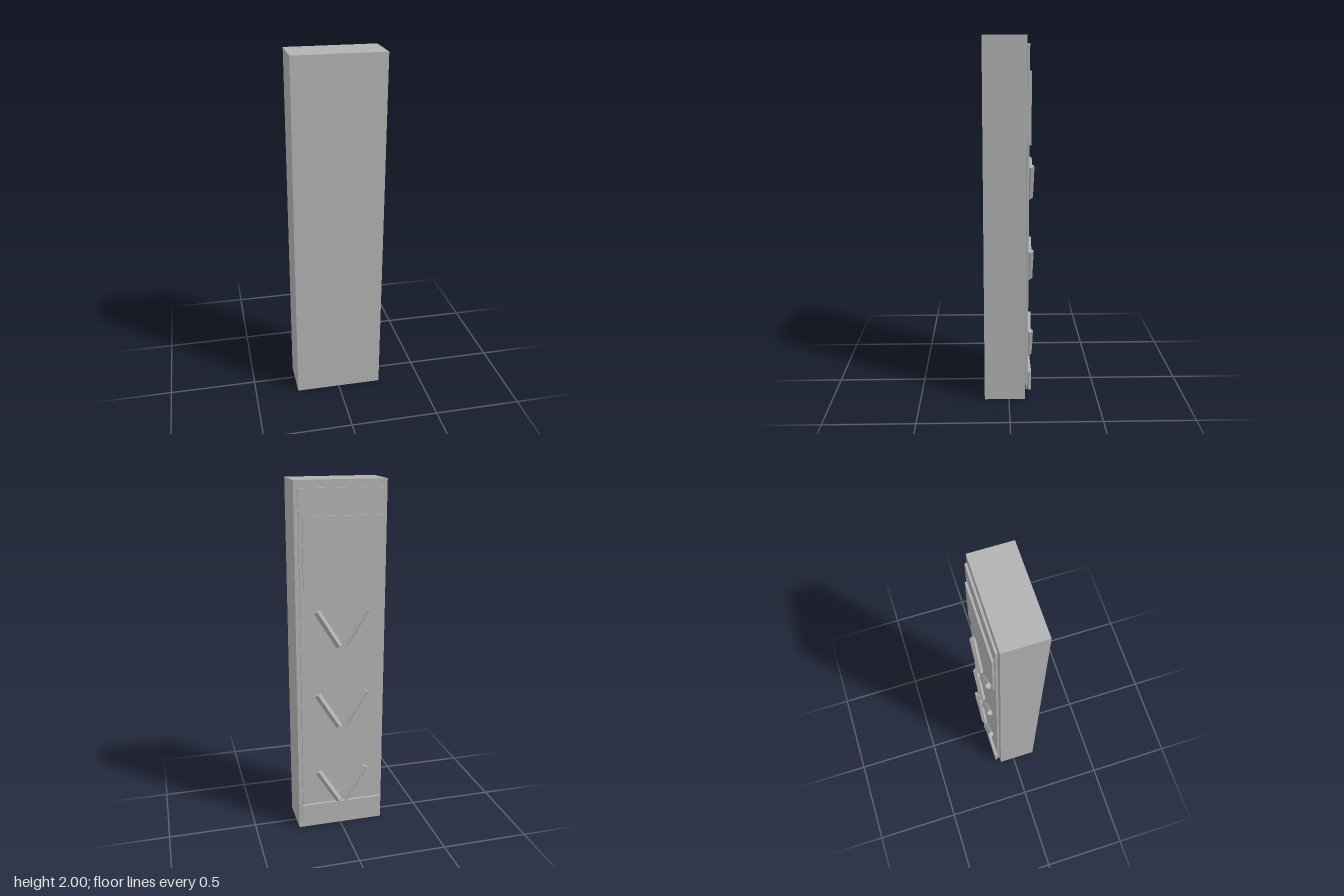
import * as THREE from 'three';

export function createModel() {
  const group = new THREE.Group();
  const grey = new THREE.MeshStandardMaterial({ color: 0xb2b2b2, flatShading: true });
  grey.name = 'grey';

  // Box given by its width, bottom and top y, and back and front z
  function slab(name, width, y0, y1, z0, z1) {
    const mesh = new THREE.Mesh(new THREE.BoxGeometry(width, y1 - y0, z1 - z0), grey);
    mesh.name = name;
    mesh.position.set(0, (y0 + y1) / 2, (z0 + z1) / 2);
    group.add(mesh);
  }

  slab('body', 0.5, 0, 2, -0.092, 0.137);
  slab('backPanel', 0.456, 0.05, 1.96, -0.107, -0.096);
  slab('upperPlate', 0.42, 1.44, 1.82, -0.118, -0.093);
  slab('lowerStrip', 0.47, 0.05, 0.16, -0.126, -0.11);

  // Three V-shaped pairs of four-sided bars, edge outward
  const barGeometry = new THREE.CylinderGeometry(0.019, 0.019, 0.235, 4);
  [0.27, 0.745, 1.22].forEach((y, i) => {
    const chevron = new THREE.Group();
    chevron.name = `chevron${i + 1}`;
    for (const side of [-1, 1]) {
      const bar = new THREE.Mesh(barGeometry, grey);
      bar.name = side > 0 ? 'leftBar' : 'rightBar';
      bar.position.set(side * 0.0785, y, -0.121);
      bar.rotation.z = -side * 0.55;
      chevron.add(bar);
    }
    group.add(chevron);
  });

  return group;
}
